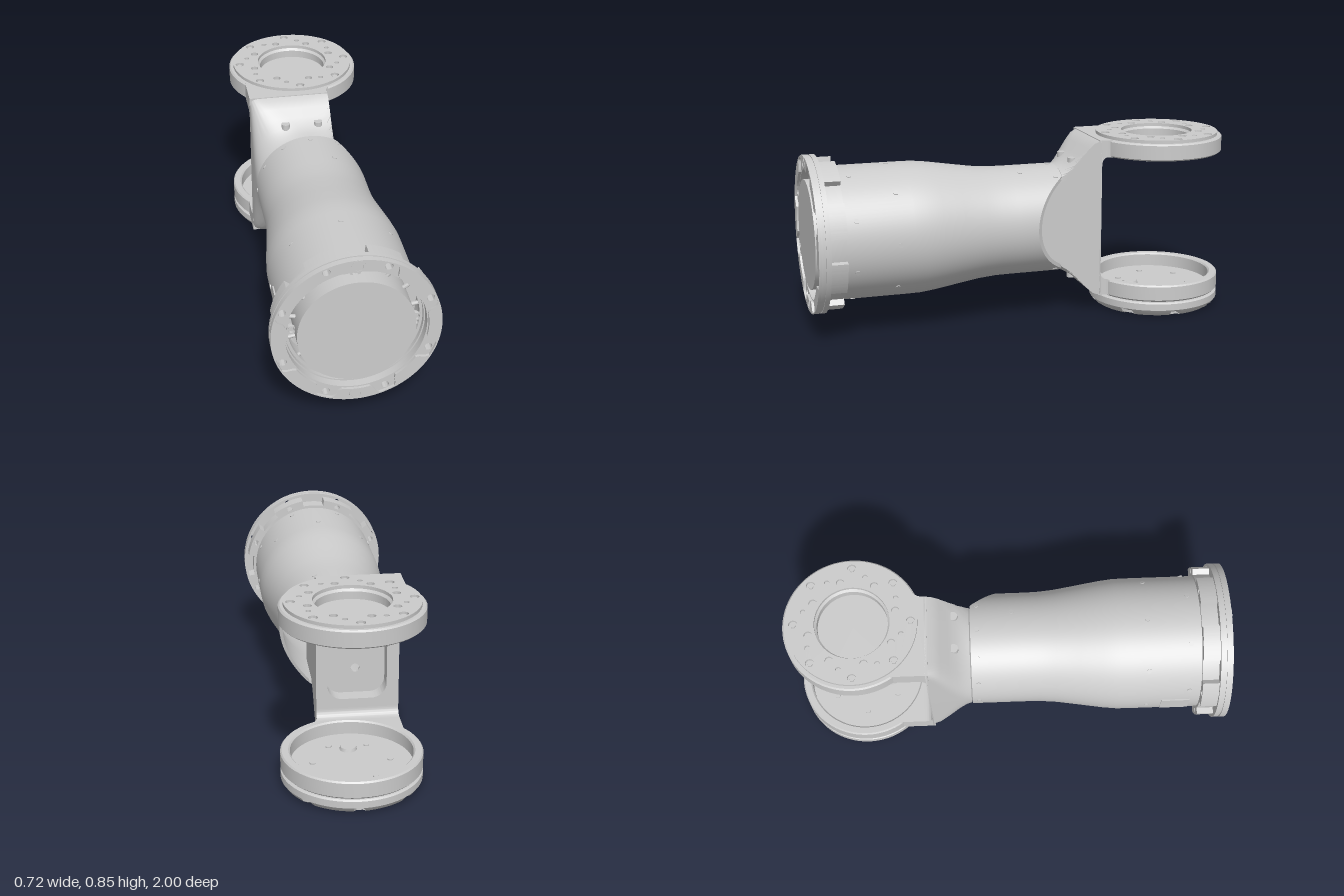
import * as THREE from 'three';
import { toCreasedNormals } from 'three/addons/utils/BufferGeometryUtils.js';

const CY = 0.455;   // height of the tube axis
const DZ = -0.69;   // z of the fork joint axis
const EIGHTH = Math.PI / 4;

export function createModel() {
  const group = new THREE.Group();
  const mat = new THREE.MeshStandardMaterial({ color: 0xcccccc, side: THREE.DoubleSide });

  const add = (name, geo, crease = 0.55) => {
    const mesh = new THREE.Mesh(toCreasedNormals(geo, crease), mat);
    mesh.name = name;
    group.add(mesh);
    return mesh;
  };
  const lathe = (pts, seg = 96) =>
    new THREE.LatheGeometry(pts.map(p => new THREE.Vector2(p[0], p[1])), seg);
  // Lathe and placement about the tube axis: profile is [radius, z]
  const alongTube = geo => geo.rotateX(Math.PI / 2).translate(0, CY, 0);
  const circleHole = (x, y, r) => new THREE.Path().absarc(x, y, r, 0, Math.PI * 2, true);
  // Ring of count holes as [x, y, radius]
  const holeRing = (count, radius, r, start = 0) => Array.from({ length: count }, (_, i) => {
    const a = start + i * Math.PI * 2 / count;
    return [Math.cos(a) * radius, Math.sin(a) * radius, r];
  });
  const extrude = (shape, depth, curveSegments = 16) =>
    new THREE.ExtrudeGeometry(shape, { depth, bevelEnabled: false, curveSegments });
  const disc = (r, inner, holes = []) => {
    const s = new THREE.Shape().absarc(0, 0, r, 0, Math.PI * 2, false);
    if (inner) s.holes.push(circleHole(0, 0, inner));
    holes.forEach(h => s.holes.push(circleHole(...h)));
    return s;
  };
  const roundRect = (Type, x0, y0, x1, y1, r) => {
    const s = new Type();
    s.moveTo(x0 + r, y0);
    s.absarc(x1 - r, y0 + r, r, -Math.PI / 2, 0, false);
    s.absarc(x1 - r, y1 - r, r, 0, Math.PI / 2, false);
    s.absarc(x0 + r, y1 - r, r, Math.PI / 2, Math.PI, false);
    s.absarc(x0 + r, y0 + r, r, Math.PI, Math.PI * 1.5, false);
    return s;
  };

  // Tapered tube shell, its rear edge trimmed by a slanted plane on the +x side
  const tube = alongTube(lathe([
    [0.24, -0.17], [0.255, -0.17], [0.255, 0.06], [0.256, 0.14], [0.263, 0.22], [0.28, 0.33],
    [0.296, 0.43], [0.304, 0.5], [0.305, 0.56], [0.305, 0.9], [0.29, 0.9], [0.288, 0.5],
    [0.24, 0.15], [0.24, -0.17],
  ]));
  const tp = tube.attributes.position;
  for (let i = 0; i < tp.count; i++) {
    const end = -0.17 + Math.max(0, tp.getX(i) - 0.13) * 1.2;
    tp.setZ(i, Math.max(tp.getZ(i), end));
  }
  add('tubeShell', tube);

  // Screw heads around the tube
  const tubeScrews = (count, r, z, start, keep = () => true) => {
    for (let i = 0; i < count; i++) {
      const a = start + i * Math.PI * 2 / count;
      if (!keep(a)) continue;
      const g = new THREE.CylinderGeometry(0.011, 0.011, 0.02, 16);
      g.translate(0, r - 0.007, 0).rotateZ(a - Math.PI / 2).translate(0, CY, z);
      add('tubeScrew', g);
    }
  };
  tubeScrews(8, 0.305, 0.82, EIGHTH / 2);
  tubeScrews(8, 0.305, 0.63, 0);
  tubeScrews(12, 0.255, -0.14, 0, a => Math.cos(a) < 0.52);
  tubeScrews(4, 0.255, 0.02, Math.PI / 2 - 0.34, a => Math.sin(a) > 0.5);
  add('sideCover', new THREE.BoxGeometry(0.014, 0.1, 0.13).translate(-0.3, CY, 0.76));

  // Front flange: base ring, grooved rim and scalloped face
  const flangeHoles = holeRing(8, 0.334, 0.017, EIGHTH / 2);
  add('flangeRing', extrude(disc(0.36, 0.298, flangeHoles), 0.022, 48).translate(0, CY, 0.945));
  add('flangeGroove', extrude(disc(0.355, 0.298, flangeHoles), 0.006, 48).translate(0, CY, 0.967));
  add('flangeRim', extrude(disc(0.36, 0.298, flangeHoles), 0.015, 48).translate(0, CY, 0.973));
  const face = disc(0.36);
  const scallop = [];
  for (let i = 0; i < 192; i++) {
    const a = i / 192 * Math.PI * 2;
    const near = Math.abs(((a / EIGHTH) % 1) - 0.5);   // 0 at a bolt hole
    const r = 0.354 - 0.05 * THREE.MathUtils.smoothstep(near, 0.13, 0.24);
    scallop.push(new THREE.Vector2(Math.cos(a) * r, Math.sin(a) * r));
  }
  face.holes.push(new THREE.Path(scallop));
  add('flangeFace', extrude(face, 0.012, 48).translate(0, CY, 0.988));

  // Lugs behind the flange, one around each bolt hole
  for (let i = 0; i < 8; i++) {
    const a = (i + 0.5) * EIGHTH, w = 0.23;
    const lug = new THREE.Shape();
    lug.absarc(0, 0, 0.346, a - w, a + w, false);
    lug.absarc(0, 0, 0.295, a + w, a - w, true);
    lug.holes.push(circleHole(...flangeHoles[i].slice(0, 2).map(v => v * 0.97), 0.014));
    add('flangeLug', extrude(lug, 0.075).translate(0, CY, 0.87));
  }
  add('flangeCollar', alongTube(lathe([[0.292, 0.87], [0.318, 0.87], [0.318, 0.95], [0.292, 0.95], [0.292, 0.87]])));

  // Motor cylinder, bearing ring, ribs and bolts inside the front opening
  add('motorCap', alongTube(lathe([[0.25, 0.6], [0.25, 0.998], [0, 0.998]])));
  add('innerFloor', extrude(disc(0.292, 0.24), 0.02, 48).translate(0, CY, 0.8));
  add('bearingRing', extrude(disc(0.298, 0.279), 0.03, 48).translate(0, CY, 0.9));
  for (let i = 0; i < 16; i++) {
    const a = (i + 0.5) * EIGHTH / 2;
    const rib = new THREE.CylinderGeometry(0.009, 0.009, 0.06, 12);
    add('innerRib', rib.translate(0, 0.275, 0).rotateZ(a).translate(0, CY, 0.915));
  }
  const frontBolt = (x, y, z, r) => {
    add('boltBoss', extrude(disc(r, r * 0.72), 0.012).translate(x, CY + y, z));
    add('boltHead', new THREE.CylinderGeometry(r * 0.5, r * 0.5, 0.03, 6).rotateX(Math.PI / 2).translate(x, CY + y, z - 0.008));
  };
  for (const s of [-1, 1]) {
    frontBolt(0, 0.33 * s, 0.99, 0.029);
    frontBolt(0, 0.264 * s, 0.93, 0.024);
    frontBolt(0.264 * s, 0, 0.93, 0.02);
  }

  // Fork yoke: round section in the tube growing to a tall block; [z, halfWidth, halfHeight, roundness]
  const sections = [
    [0.06, 0.238, 0.238, 2], [-0.17, 0.238, 0.238, 2], [-0.175, 0.25, 0.25, 2], [-0.2, 0.252, 0.256, 2.3],
    [-0.235, 0.254, 0.273, 3.2], [-0.27, 0.255, 0.302, 5], [-0.305, 0.255, 0.337, 8],
    [-0.335, 0.255, 0.362, 14], [-0.37, 0.255, 0.375, 24],
  ];
  const N = 96, verts = [], index = [];
  const bend = (v, n) => Math.sign(v) * Math.pow(Math.abs(v), 2 / n);
  const sectionPoint = ([, w, h, n], j) => {
    const a = j / N * Math.PI * 2;
    return [Math.min(0.12, w * bend(Math.cos(a), n)), CY + h * bend(Math.sin(a), n)];
  };
  sections.forEach((s, i) => {
    for (let j = 0; j < N; j++) {
      verts.push(...sectionPoint(s, j), s[0]);
      if (i === sections.length - 1) continue;
      const a = i * N + j, b = i * N + (j + 1) % N;
      index.push(a, a + N, b, b, a + N, b + N);
    }
  });
  const yoke = new THREE.BufferGeometry();
  yoke.setAttribute('position', new THREE.Float32BufferAttribute(verts, 3));
  yoke.setIndex(index);
  add('forkYoke', yoke);

  // Rear wall of the yoke with a rounded pocket
  const pocket = [-0.2, 0.24, 0.07, 0.67];
  const wall = roundRect(THREE.Shape, -0.255, 0.08, 0.12, 0.83, 0.004);
  wall.holes.push(roundRect(THREE.Path, ...pocket, 0.07));
  add('yokeBackWall', extrude(wall, 0.006).translate(0, 0, -0.372));
  const frame = roundRect(THREE.Shape, -0.21, 0.23, 0.08, 0.68, 0.08);
  frame.holes.push(roundRect(THREE.Path, ...pocket, 0.07));
  add('pocketWall', extrude(frame, 0.08).translate(0, 0, -0.37));
  const floor = roundRect(THREE.Shape, -0.205, 0.235, 0.075, 0.675, 0.075);
  floor.holes.push(circleHole(-0.065, 0.55, 0.05), circleHole(-0.065, 0.36, 0.02));
  add('pocketFloor', extrude(floor, 0.015).translate(0, 0, -0.3));

  // Fork arms joining the yoke to the joint discs, with inner corner fillets
  const arm = new THREE.Shape();
  arm.moveTo(0.12, 0.36);
  arm.lineTo(-0.255, 0.36);
  arm.lineTo(-0.255, 0.552);
  arm.absarc(0, 0.69, 0.29, -2.646, -0.785, false);
  arm.quadraticCurveTo(0.12, 0.42, 0.12, 0.38);
  for (const [y, depth, corner, dir] of [[0.08, 0.075, 0.155, 1], [0.75, 0.08, 0.75, -1]]) {
    add('forkArm', extrude(arm, depth).rotateX(-Math.PI / 2).translate(0, y, 0));
    const fillet = new THREE.Shape();
    fillet.moveTo(0.368, corner);
    fillet.lineTo(0.41, corner);
    fillet.quadraticCurveTo(0.372, corner, 0.372, corner + dir * 0.04);
    fillet.lineTo(0.368, corner + dir * 0.04);
    add('armFillet', extrude(fillet, 0.375).rotateY(Math.PI / 2).translate(-0.255, 0, 0));
  }
  // Slope bolts on the top and bottom of the yoke
  for (const s of [-1, 1]) for (const x of [-0.1, 0.055]) {
    const boss = new THREE.CylinderGeometry(0.02, 0.02, 0.03, 20);
    add('slopeBolt', boss.translate(x, CY + s * 0.275, -0.245));
  }

  // Upper joint disc: recessed centre, drilled top plate, underside boss
  const atJoint = geo => geo.translate(0, 0, DZ);
  add('upperDisc', atJoint(lathe([
    [0, 0.742], [0.2, 0.742], [0.205, 0.735], [0.232, 0.735], [0.235, 0.75], [0.302, 0.75], [0.31, 0.757],
    [0.31, 0.823], [0.303, 0.83], [0.168, 0.83], [0.158, 0.82], [0.158, 0.785], [0, 0.785],
  ])));
  const topHoles = [
    ...holeRing(8, 0.26, 0.02), ...holeRing(8, 0.2, 0.018, EIGHTH / 2 * 0.67),
    ...holeRing(8, 0.225, 0.012, EIGHTH * 0.66),
  ];
  add('upperPlate', atJoint(extrude(disc(0.29, 0.168, topHoles), 0.015, 32).rotateX(-Math.PI / 2).translate(0, 0.83, 0)));
  for (const [x, z] of holeRing(8, 0.26, 0)) {
    add('upperScrew', atJoint(new THREE.CylinderGeometry(0.012, 0.012, 0.01, 6).translate(x, 0.834, z)));
  }
  for (const [x, z] of holeRing(12, 0.275, 0)) {
    add('undersideScrew', atJoint(new THREE.CylinderGeometry(0.008, 0.008, 0.006, 12).translate(x, 0.749, z)));
  }

  // Lower joint cup, open at the top
  add('lowerCup', atJoint(lathe([
    [0, 0.075], [0.302, 0.075], [0.31, 0.083], [0.31, 0.148], [0.304, 0.155], [0.275, 0.155],
    [0.268, 0.148], [0.268, 0.09], [0, 0.09],
  ])));
  for (const [x, z] of holeRing(6, 0.17, 0)) {
    add('cupScrew', atJoint(new THREE.CylinderGeometry(0.013, 0.013, 0.01, 16).translate(x, 0.091, z)));
  }
  add('cupBoss', atJoint(new THREE.CylinderGeometry(0.035, 0.04, 0.02, 24).translate(0, 0.095, 0.12)));

  // Lower cover with a chamfer notched at eight places
  const cover = lathe([[0.25, 0.012], [0.25, 0], [0.276, 0], [0.295, 0.012], [0.31, 0.033], [0.31, 0.064], [0.303, 0.07], [0, 0.07]], 128);
  const cp = cover.attributes.position;
  for (let i = 0; i < cp.count; i++) {
    const x = cp.getX(i), z = cp.getZ(i), y = cp.getY(i), r = Math.hypot(x, z);
    const a = Math.atan2(z, x) / EIGHTH;
    if (y > 0.025 || r < 0.26 || Math.abs(a - Math.round(a)) > 0.085) continue;
    const k = 0.265 / r;
    cp.setXYZ(i, x * k, y, z * k);
  }
  add('lowerCover', atJoint(cover), 0.4);
  const bottomHoles = [...holeRing(12, 0.215, 0.01), [0.04, 0.06, 0.018], [-0.04, -0.06, 0.018]];
  add('coverPlate', atJoint(extrude(disc(0.252, 0, bottomHoles), 0.012, 32).rotateX(-Math.PI / 2)));

  return group;
}
